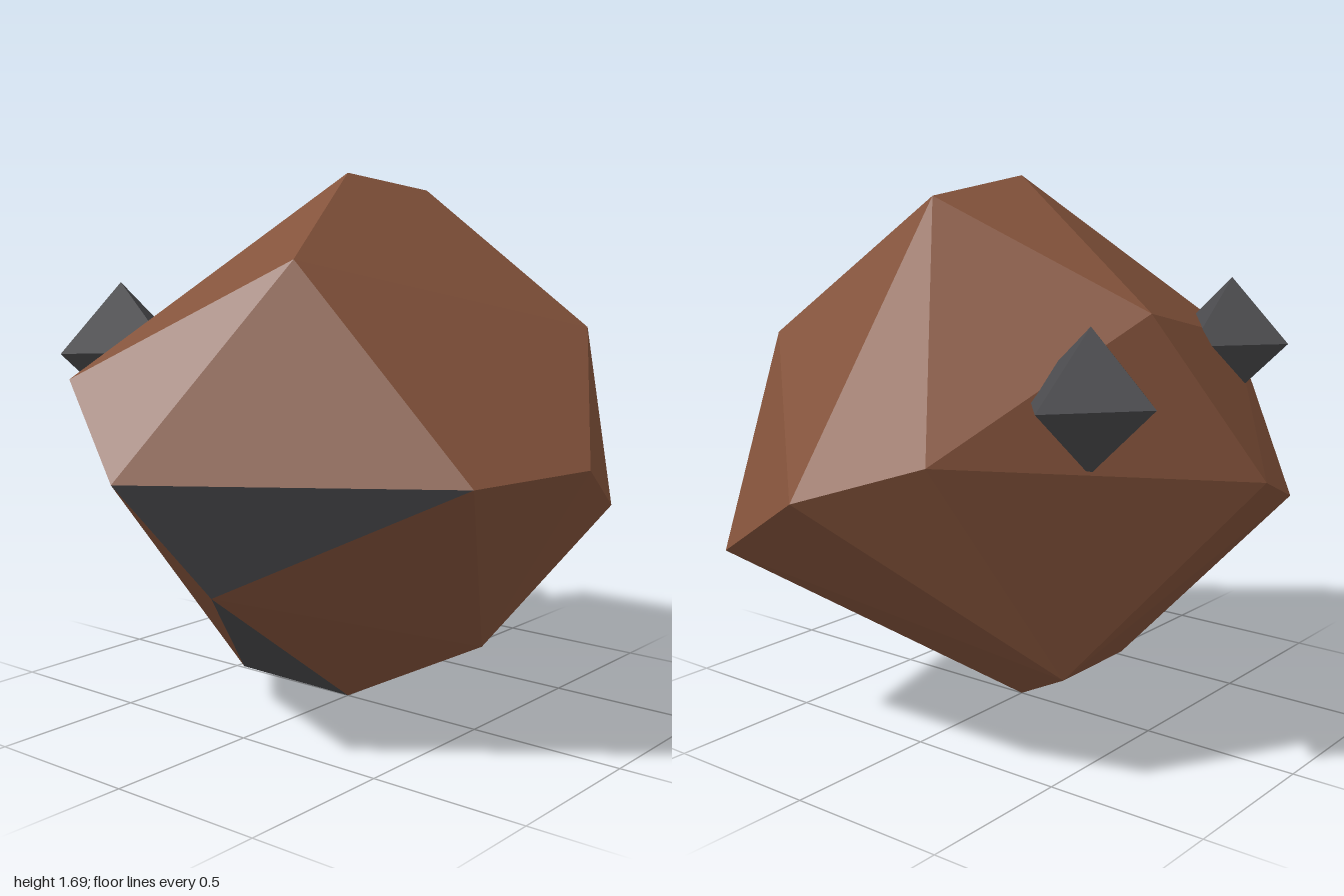
import * as THREE from 'three';
import { ConvexGeometry } from 'three/addons/geometries/ConvexGeometry.js';

const brown = new THREE.MeshStandardMaterial({ name: 'brown rock', color: 0x84533b });
const grey = new THREE.MeshStandardMaterial({ name: 'dark grey ore', color: 0x4a4a4d });
brown.flatShading = grey.flatShading = true;

// corners of the faceted boulder
const corners = [
  // six axis tips
  [1, 0.85, 0], [-1, 0.85, 0], [0, 1.69, 0], [0, 0, 0], [0, 0.85, 0.88], [0, 0.85, -0.88],
  // upper ring
  [0.39, 1.64, 0.02], [0.49, 1.21, 0.58], [0.21, 1.33, -0.62], [-0.52, 1.44, 0.23],
  // middle ring
  [0.79, 0.58, 0.52], [0.88, 0.98, -0.38], [-0.45, 0.85, 0.79], [-0.93, 1.11, -0.24], [-0.34, 0.73, -0.78],
  // lower ring
  [0.02, 0.26, 0.51], [0.5, 0.33, -0.54], [-0.76, 0.51, 0.13], [-0.26, 0.12, -0.22],
].map((p) => new THREE.Vector3(...p));

// facets of exposed ore, by corner number
const oreFacets = [[1, 12, 17], [10, 15, 3], [17, 3, 18]];

function boulder() {
  const geometry = new ConvexGeometry(corners);
  const pos = geometry.attributes.position;
  const v = new THREE.Vector3();
  const cornerIndex = (i) => {
    v.fromBufferAttribute(pos, i);
    return corners.findIndex((c) => c.distanceTo(v) < 1e-4);
  };
  // one material group per facet
  for (let i = 0; i < pos.count; i += 3) {
    const ids = [0, 1, 2].map((k) => cornerIndex(i + k));
    const isOre = oreFacets.some((f) => f.every((id) => ids.includes(id)));
    geometry.addGroup(i, 3, isOre ? 1 : 0);
  }
  const mesh = new THREE.Mesh(geometry, [brown, grey]);
  mesh.name = 'boulder';
  return mesh;
}

// eight-sided ore nugget half sunk in the boulder
function nugget(name, x, y, z) {
  const geometry = new THREE.OctahedronGeometry(1, 0);
  geometry.scale(0.24, 0.2, 0.21);
  const mesh = new THREE.Mesh(geometry, grey);
  mesh.name = name;
  mesh.position.set(x, y, z);
  return mesh;
}

export function createModel() {
  const group = new THREE.Group();
  group.name = 'oreBoulder';
  group.add(
    boulder(),
    nugget('leftNugget', 0.47, 1.12, -0.6),
    nugget('rightNugget', -0.565, 1.16, -0.425),
  );
  return group;
}
